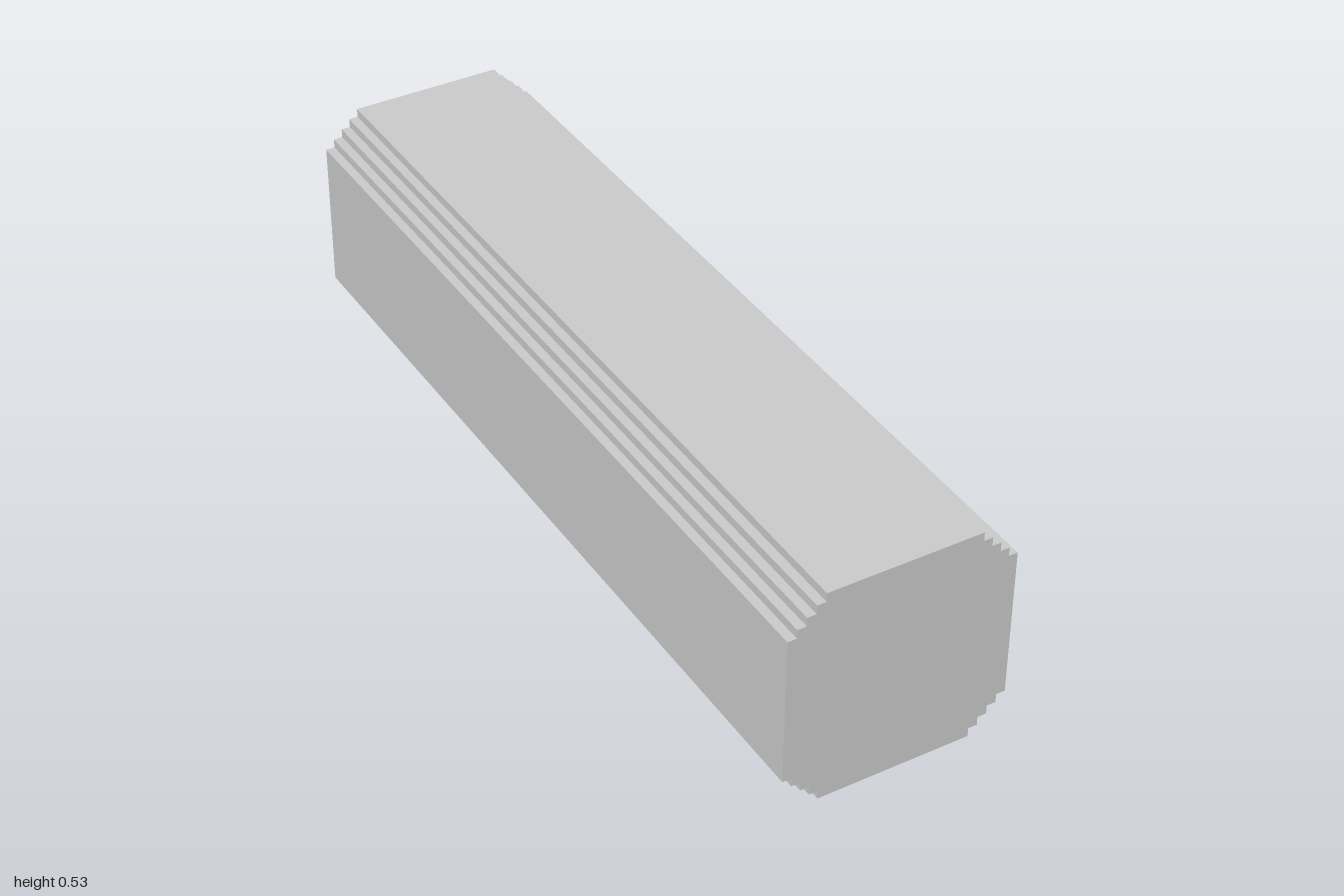
import * as THREE from 'three';

const UNIT = 2 / 95;      // size of one step
const HALF = 12.5 * UNIT; // half width and half height
const STEPS = 4;          // steps cut into each corner
const LENGTH = 2;

// Square outline with stepped corners, counter-clockwise
function steppedOutline() {
  const corner = [];
  for (let i = 0; i <= STEPS; i++) {
    const x = HALF - i * UNIT;
    const y = HALF - (STEPS - i) * UNIT;
    if (i > 0) corner.push(new THREE.Vector2(x, y - UNIT));
    corner.push(new THREE.Vector2(x, y));
  }
  const origin = new THREE.Vector2();
  const points = [];
  for (let q = 0; q < 4; q++) {
    for (const p of corner) points.push(p.clone().rotateAround(origin, q * Math.PI / 2));
  }
  return new THREE.Shape(points);
}

export function createModel() {
  const group = new THREE.Group();
  group.name = 'steppedBeam';

  // Solid beam running front to back
  const geometry = new THREE.ExtrudeGeometry(steppedOutline(), { depth: LENGTH, bevelEnabled: false });
  geometry.translate(0, HALF, -LENGTH / 2);
  const beam = new THREE.Mesh(
    geometry,
    new THREE.MeshStandardMaterial({ color: 0xcccccc, flatShading: true })
  );
  beam.name = 'beam';
  group.add(beam);

  return group;
}
